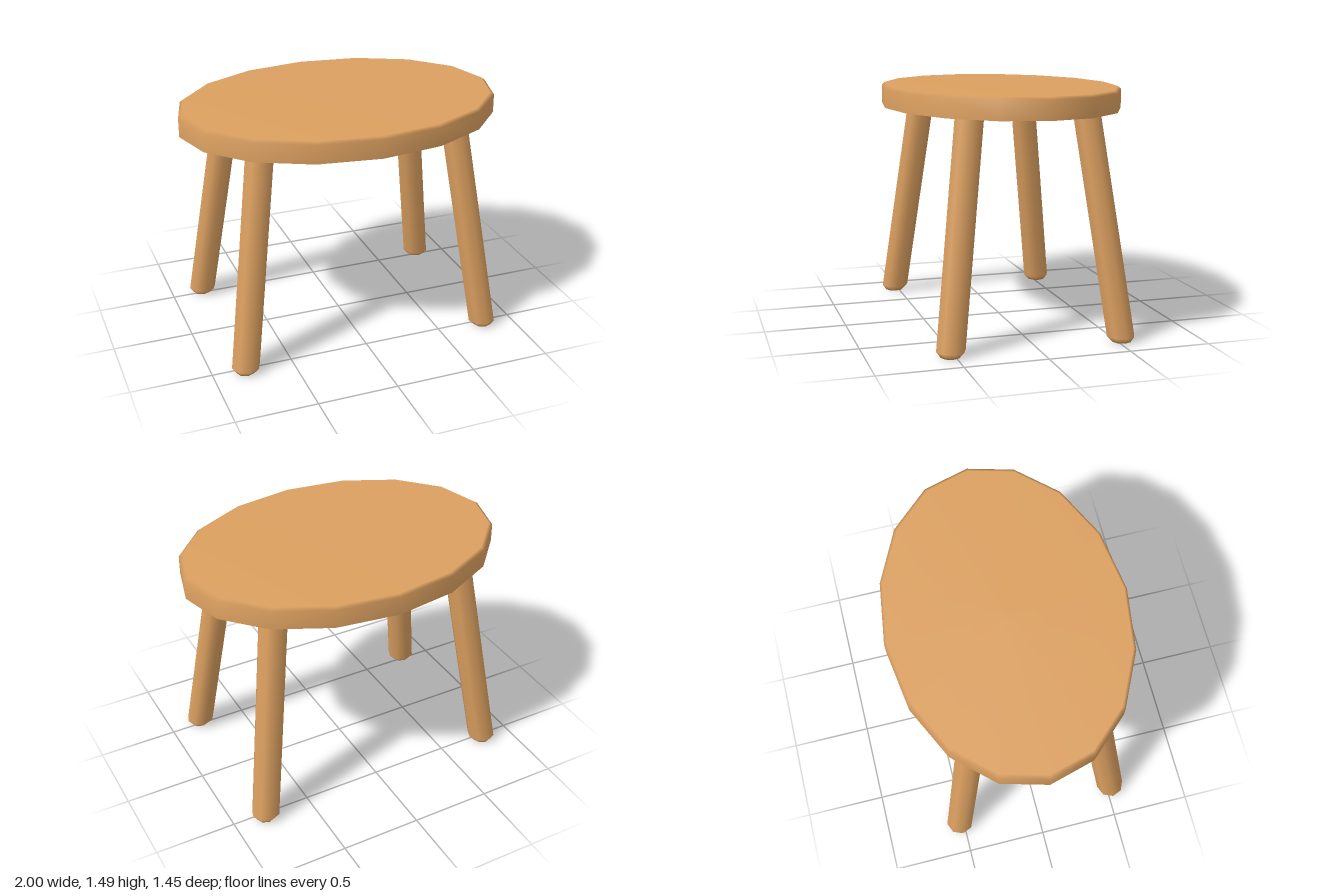
import * as THREE from 'three';

const SEAT_BOTTOM = 1.355;

// Turned profile from [radius, height] pairs, listed bottom to top
function lathe(points, sides) {
  return new THREE.LatheGeometry(points.map(([r, y]) => new THREE.Vector2(r, y)), sides);
}

export function createModel() {
  const group = new THREE.Group();
  const wood = new THREE.MeshStandardMaterial({ color: 0xdca060 });
  const add = (name, geometry, parent = group) => {
    const mesh = new THREE.Mesh(geometry, wood);
    mesh.name = name;
    parent.add(mesh);
  };

  // Oval sixteen-sided seat: softly bevelled top, sharp flat underside
  const seat = new THREE.Group();
  seat.name = 'seat';
  group.add(seat);
  const seatTop = lathe([[1, SEAT_BOTTOM], [1, 1.47], [0.975, 1.487], [0, 1.487]], 16);
  const underside = lathe([[0, SEAT_BOTTOM], [1, SEAT_BOTTOM]], 16);
  add('seatTop', seatTop.scale(1, 1, 0.725), seat);
  add('seatUnderside', underside.scale(1, 1, 0.725), seat);

  // Four splayed legs: eight-sided posts sheared outwards, with level chamfered feet
  for (const [sx, side] of [[1, 'Left'], [-1, 'Right']]) {
    for (const [sz, end] of [[1, 'front'], [-1, 'back']]) {
      const leg = lathe([[0, 0], [0.058, 0], [0.0875, 0.035], [0.0875, SEAT_BOTTOM + 0.02]], 8);
      leg.applyMatrix4(new THREE.Matrix4().set(
        1, -0.136 * sx, 0, 0.799 * sx,
        0, 1, 0, 0,
        0, -0.125 * sz, 1, 0.527 * sz,
        0, 0, 0, 1
      ));
      add(`${end}${side}Leg`, leg);
    }
  }
  return group;
}
